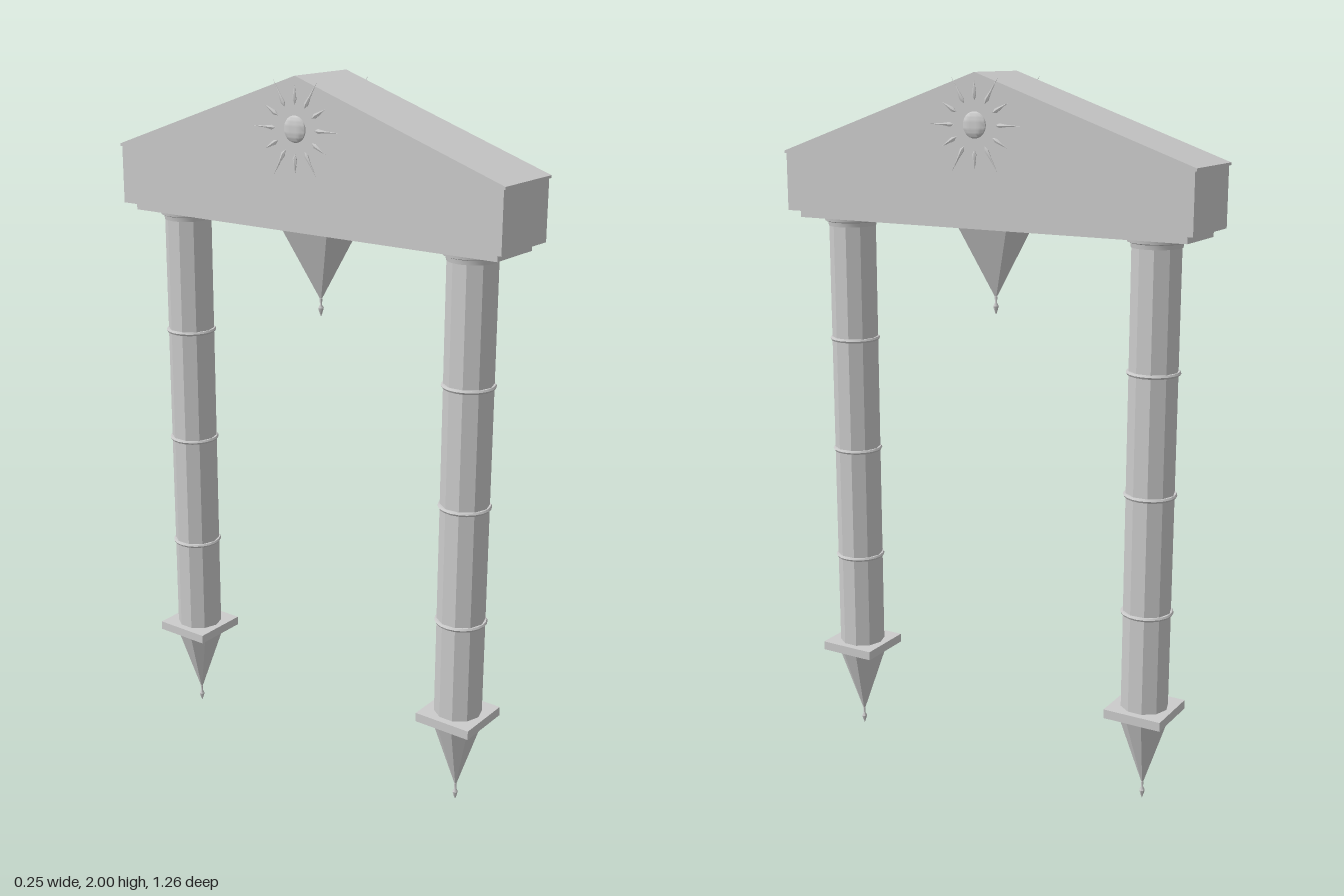
import * as THREE from 'three';
import { toCreasedNormals } from 'three/addons/utils/BufferGeometryUtils.js';

const stone = new THREE.MeshStandardMaterial({ color: 0xcccccc });
stone.name = 'pale stone';

// Adds a named mesh with smooth curves and sharp facet edges
function add(parent, name, geometry, x = 0, y = 0, z = 0) {
  const mesh = new THREE.Mesh(toCreasedNormals(geometry, 0.5), stone);
  mesh.name = name;
  mesh.position.set(x, y, z);
  parent.add(mesh);
  return mesh;
}

const lathe = (points, sides) =>
  new THREE.LatheGeometry(points.map(([r, y]) => new THREE.Vector2(r, y)), sides);

// Small drop hanging from a point; y = 0 is its lower tip
const finial = () => lathe([[0, 0], [0.004, 0.01], [0.008, 0.024], [0.003, 0.034], [0.004, 0.05], [0, 0.056]], 8);

function makeColumn() {
  const column = new THREE.Group();
  column.name = 'column';
  add(column, 'finial', finial());
  add(column, 'lowerSpike', lathe([[0, 0.042], [0.074, 0.26], [0, 0.26]], 10));
  add(column, 'basePlate', new THREE.BoxGeometry(0.17, 0.026, 0.17), 0, 0.273);
  add(column, 'shaft', new THREE.CylinderGeometry(0.067, 0.067, 1.305, 10), 0, 0.9375);
  // Bands around the shaft
  for (const y of [0.565, 0.9, 1.235]) {
    add(column, 'band', new THREE.TorusGeometry(0.067, 0.006, 6, 20).rotateX(Math.PI / 2), 0, y);
  }
  // Stepped capital
  add(column, 'capital', lathe([[0, 1.565], [0.068, 1.565], [0.07, 1.577], [0.078, 1.58], [0.08, 1.592], [0, 1.592]], 20));
  return column;
}

// Sun ornament built facing +z, centred on the origin
function makeSun() {
  const sun = new THREE.Group();
  sun.name = 'sunOrnament';
  add(sun, 'sunDisc', new THREE.SphereGeometry(0.035, 24, 16).scale(1, 1, 0.3));
  for (let i = 0; i < 12; i++) {
    const length = i % 2 ? 0.115 : 0.142;
    const ray = lathe([[0, 0.063], [0.007, 0.076], [0.003, 0.1], [0, length]], 6).scale(1, 1, 0.8);
    add(sun, 'sunRay', ray).rotation.z = i * Math.PI / 6 - Math.PI / 2;
  }
  return sun;
}

export function createModel() {
  const gate = new THREE.Group();
  gate.name = 'gateway';

  for (const side of [1, -1]) {
    const column = makeColumn();
    column.position.z = side * 0.48;
    gate.add(column);

    const sun = makeSun();
    sun.position.set(side * 0.112, 1.865, 0);
    sun.rotation.y = side * Math.PI / 2;
    gate.add(sun);
  }

  // Lintel with a recessed course underneath
  add(gate, 'lowerCourse', new THREE.BoxGeometry(0.17, 0.022, 1.2), 0, 1.6);
  add(gate, 'lintel', new THREE.BoxGeometry(0.22, 0.165, 1.25), 0, 1.6925);

  // Gabled pediment, ridge running across x
  const gable = new THREE.Shape([
    new THREE.Vector2(-0.63, 1.771), new THREE.Vector2(0.63, 1.771),
    new THREE.Vector2(0.63, 1.778), new THREE.Vector2(0, 2), new THREE.Vector2(-0.63, 1.778),
  ]);
  const roof = new THREE.ExtrudeGeometry(gable, { depth: 0.224, bevelEnabled: false });
  add(gate, 'pediment', roof.translate(0, 0, -0.112).rotateY(Math.PI / 2));

  // Square pendant below the middle
  const pendant = new THREE.ConeGeometry(0.075 * Math.SQRT2, 0.2, 4).rotateY(Math.PI / 4).rotateX(Math.PI);
  add(gate, 'pendant', pendant, 0, 1.49);
  add(gate, 'pendantFinial', finial(), 0, 1.345);

  return gate;
}
